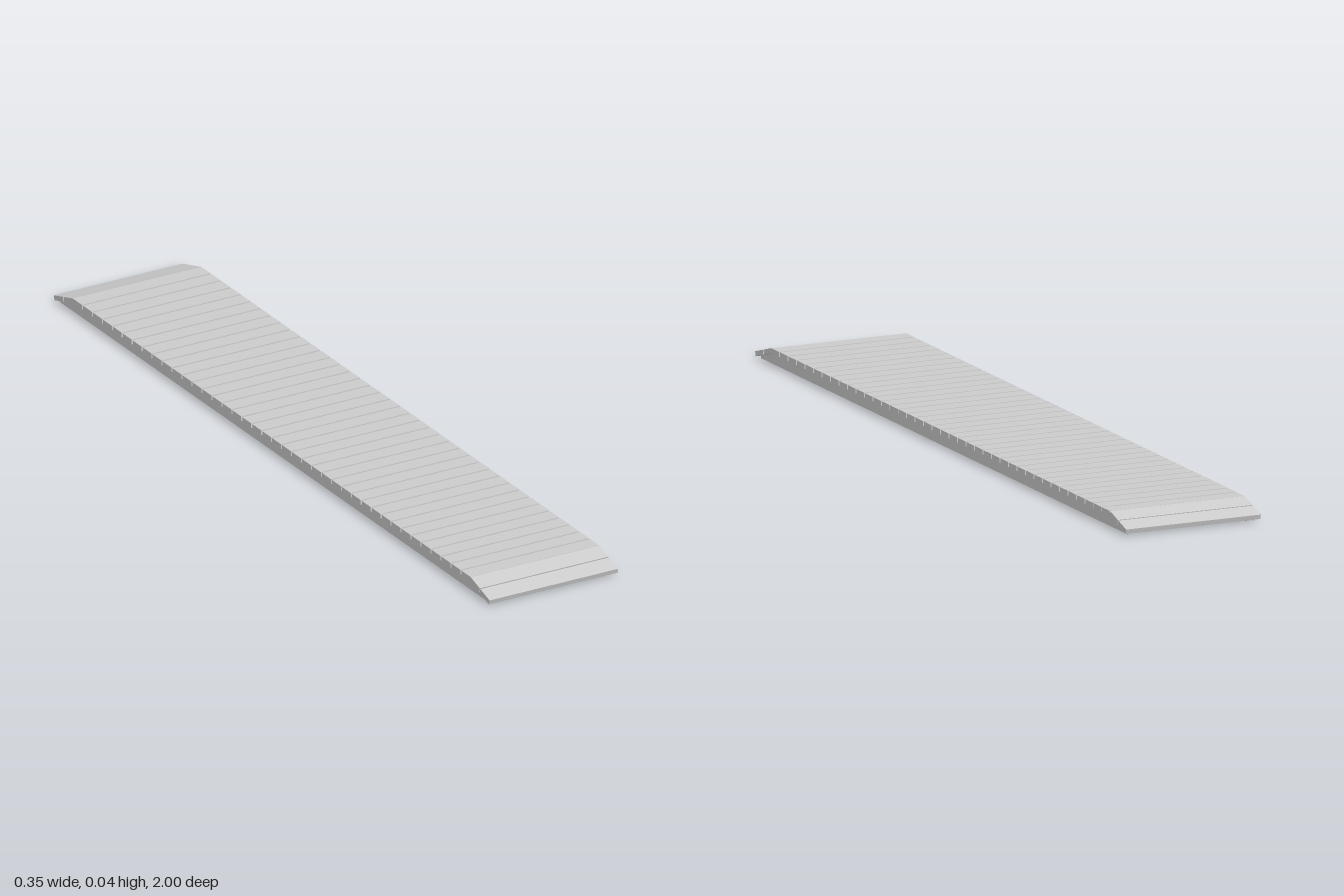
import * as THREE from 'three';

const WIDTH = 0.35, TOP = 0.042, THICK = 0.012;
const COUNT = 40, PITCH = 0.0457, BOARD = 0.0405;
const RAMP_START = 0.913, RAMP_DROP = 0.026;

export function createModel() {
  const model = new THREE.Group();
  model.name = 'boardwalk';
  const mat = new THREE.MeshStandardMaterial({ color: 0xcccccc });

  // Deck boards with narrow gaps between them
  const deck = new THREE.Group();
  deck.name = 'deck';
  const boardGeo = new THREE.BoxGeometry(WIDTH, THICK, BOARD);
  for (let i = 0; i < COUNT; i++) {
    const board = new THREE.Mesh(boardGeo, mat);
    board.name = 'deckBoard';
    board.position.set(0, TOP - THICK / 2, (i - (COUNT - 1) / 2) * PITCH);
    deck.add(board);
  }
  model.add(deck);

  // Two sloping boards at each end
  const run = 1 - RAMP_START;
  const slope = Math.atan2(RAMP_DROP, run);
  const length = Math.hypot(run, RAMP_DROP);
  const gap = 0.003, rampBoard = (length - gap) / 2;
  const rampGeo = new THREE.BoxGeometry(WIDTH, THICK, rampBoard);
  for (const turn of [0, Math.PI]) {
    const ramp = new THREE.Group();
    ramp.name = turn ? 'backRamp' : 'frontRamp';
    const incline = new THREE.Group();
    incline.position.set(0, TOP, RAMP_START);
    incline.rotation.x = slope;
    for (let i = 0; i < 2; i++) {
      const board = new THREE.Mesh(rampGeo, mat);
      board.name = 'rampBoard';
      board.position.set(0, -THICK / 2, rampBoard / 2 + i * (rampBoard + gap));
      incline.add(board);
    }
    ramp.add(incline);
    ramp.rotation.y = turn;
    model.add(ramp);
  }

  // Two long bearers whose ends taper beneath the ramps
  const under = TOP - THICK;
  const bend = RAMP_START - 0.003;
  const tip = 0.99;
  const tipY = under - (tip - bend) * Math.tan(slope);
  const profile = new THREE.Shape([
    [-tip, 0], [tip, 0], [tip, tipY], [bend, under], [-bend, under], [-tip, tipY],
  ].map(([z, y]) => new THREE.Vector2(z, y)));
  const bearerWidth = 0.022;
  const bearerGeo = new THREE.ExtrudeGeometry(profile, { depth: bearerWidth, bevelEnabled: false });
  bearerGeo.translate(0, 0, -bearerWidth / 2);
  bearerGeo.rotateY(Math.PI / 2);
  for (const side of [-1, 1]) {
    const bearer = new THREE.Mesh(bearerGeo, mat);
    bearer.name = side > 0 ? 'leftBearer' : 'rightBearer';
    bearer.position.x = side * 0.153;
    model.add(bearer);
  }
  return model;
}
